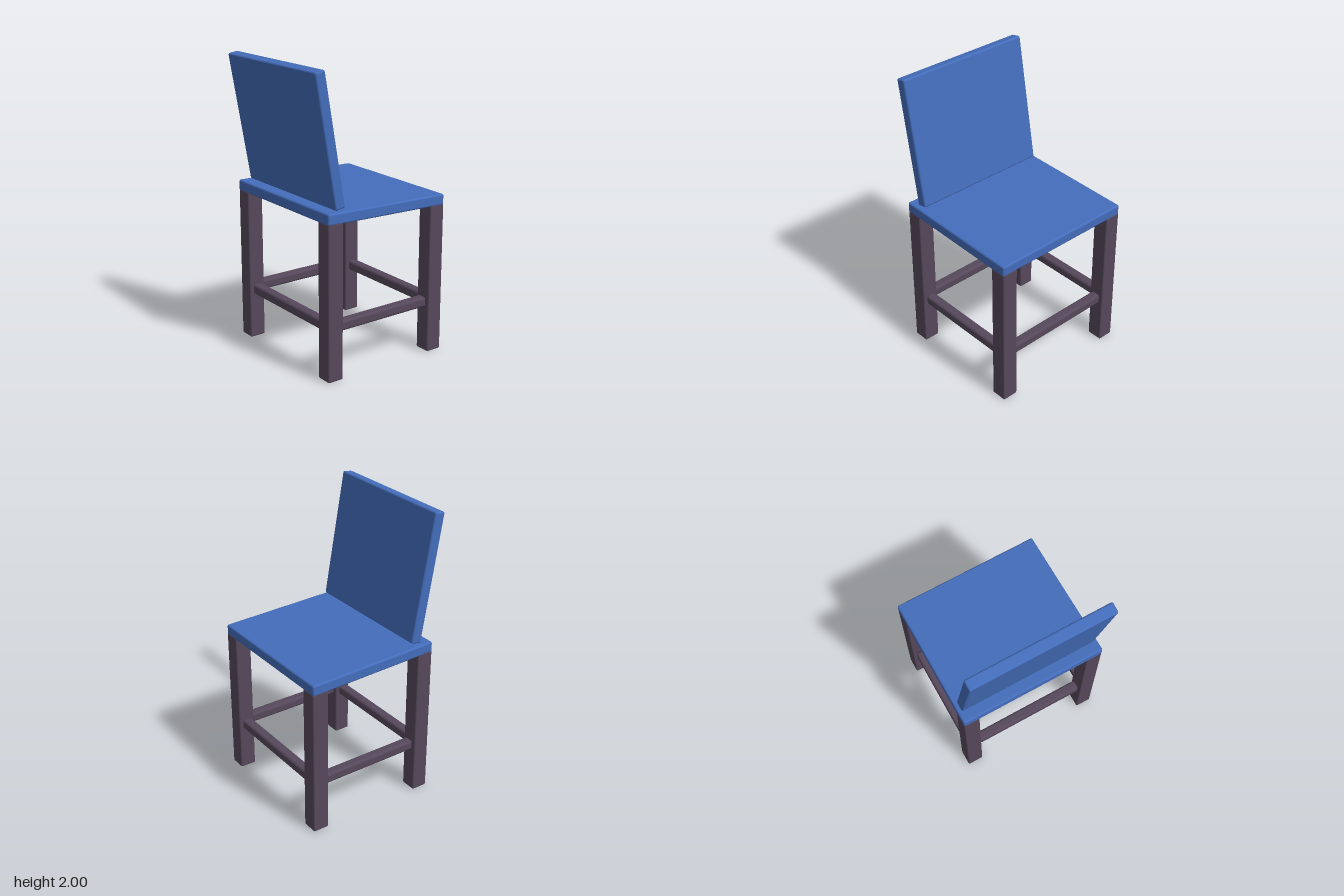
import * as THREE from 'three';
import { RoundedBoxGeometry } from 'three/addons/geometries/RoundedBoxGeometry.js';

export function createModel() {
  const chair = new THREE.Group();
  chair.name = 'chair';

  const blue = new THREE.MeshStandardMaterial({ color: 0x446dbb });
  blue.name = 'blue paint';
  const wood = new THREE.MeshStandardMaterial({ color: 0x56485b });
  wood.name = 'dark wood';

  function box(name, size, position, radius, material, tilt = 0) {
    const mesh = new THREE.Mesh(new RoundedBoxGeometry(...size, 3, radius), material);
    mesh.name = name;
    mesh.position.set(...position);
    mesh.rotation.x = tilt;
    chair.add(mesh);
  }

  // Slightly sloping seat and leaning backrest
  box('seat', [1.032, 0.075, 0.938], [0, 1.07, -0.036], 0.013, blue, -0.028);
  box('backrest', [0.978, 0.88, 0.075], [0, 1.56, 0.395], 0.013, blue, 0.1745);

  // Square legs, ending just inside the underside of the seat
  const legX = 0.458, frontZ = 0.375, rearZ = -0.449, legSize = 0.114;
  const railY = 0.356, railSize = 0.07;
  for (const [side, s] of [['left', 1], ['right', -1]]) {
    for (const [end, z, height] of [['Backrest', frontZ, 1.055], ['Seat', rearZ, 1.032]]) {
      box(side + end + 'Leg', [legSize, height, legSize], [s * legX, height / 2, z], 0.011, wood);
    }
    // Side stretchers
    box(side + 'Stretcher', [railSize, railSize, frontZ - rearZ - legSize + 0.002],
      [s * legX, railY, (frontZ + rearZ) / 2], 0.018, wood);
  }

  // Cross stretchers
  for (const [end, z] of [['backrest', frontZ], ['seat', rearZ]]) {
    box(end + 'EndStretcher', [2 * legX - legSize + 0.002, railSize, railSize],
      [0, railY, z], 0.018, wood);
  }

  return chair;
}
